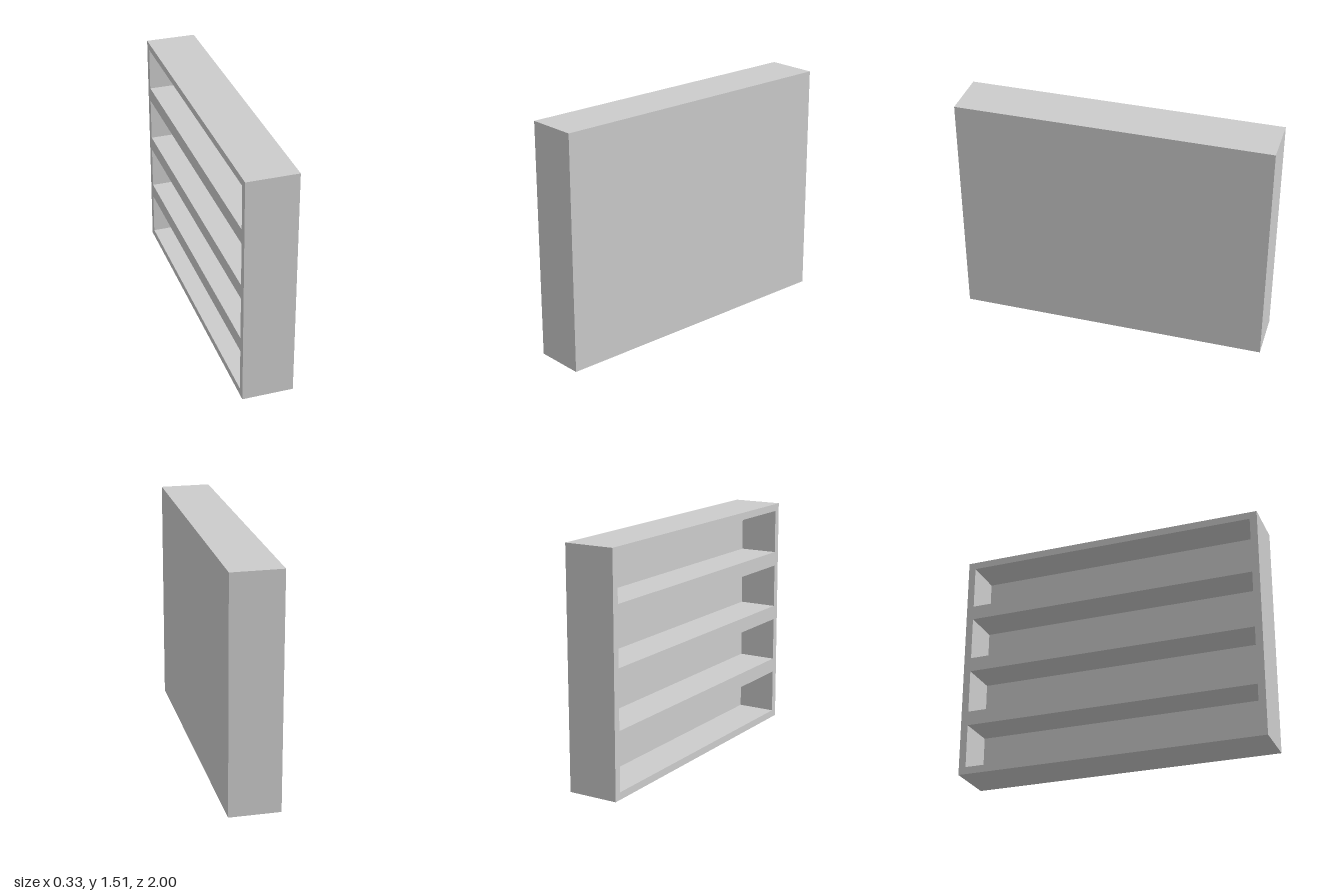
import * as THREE from 'three';

const WIDTH = 0.326, HEIGHT = 1.51, LENGTH = 2;
const WALL = 0.047;    // frame thickness around each compartment
const BACK = 0.073;    // back panel thickness
const ROWS = 4;

// Axis-aligned rectangle traced onto a Shape or Path
function rect(path, x0, y0, x1, y1) {
  path.moveTo(x0, y0);
  path.lineTo(x1, y0);
  path.lineTo(x1, y1);
  path.lineTo(x0, y1);
  path.closePath();
  return path;
}

export function createModel() {
  const group = new THREE.Group();
  group.name = 'shelfUnit';
  const material = new THREE.MeshStandardMaterial({ color: 0xcccccc });

  // Frame and shelves: one slab pierced by a column of long compartments
  const outline = rect(new THREE.Shape(), -LENGTH / 2, 0, LENGTH / 2, HEIGHT);
  const pitch = HEIGHT / ROWS;
  for (let i = 0; i < ROWS; i++) {
    outline.holes.push(rect(new THREE.Path(),
      -LENGTH / 2 + WALL, i * pitch + WALL,
      LENGTH / 2 - WALL, (i + 1) * pitch - WALL));
  }
  const frameGeometry = new THREE.ExtrudeGeometry(outline, { depth: WIDTH - BACK, bevelEnabled: false });
  frameGeometry.rotateY(-Math.PI / 2);   // compartments open toward -x
  frameGeometry.translate(WIDTH / 2 - BACK, 0, 0);
  const frame = new THREE.Mesh(frameGeometry, material);
  frame.name = 'frameAndShelves';
  group.add(frame);

  // Solid panel closing the compartments on the +x side
  const panel = new THREE.Mesh(new THREE.BoxGeometry(BACK, HEIGHT, LENGTH), material);
  panel.name = 'backPanel';
  panel.position.set(WIDTH / 2 - BACK / 2, HEIGHT / 2, 0);
  group.add(panel);

  return group;
}
